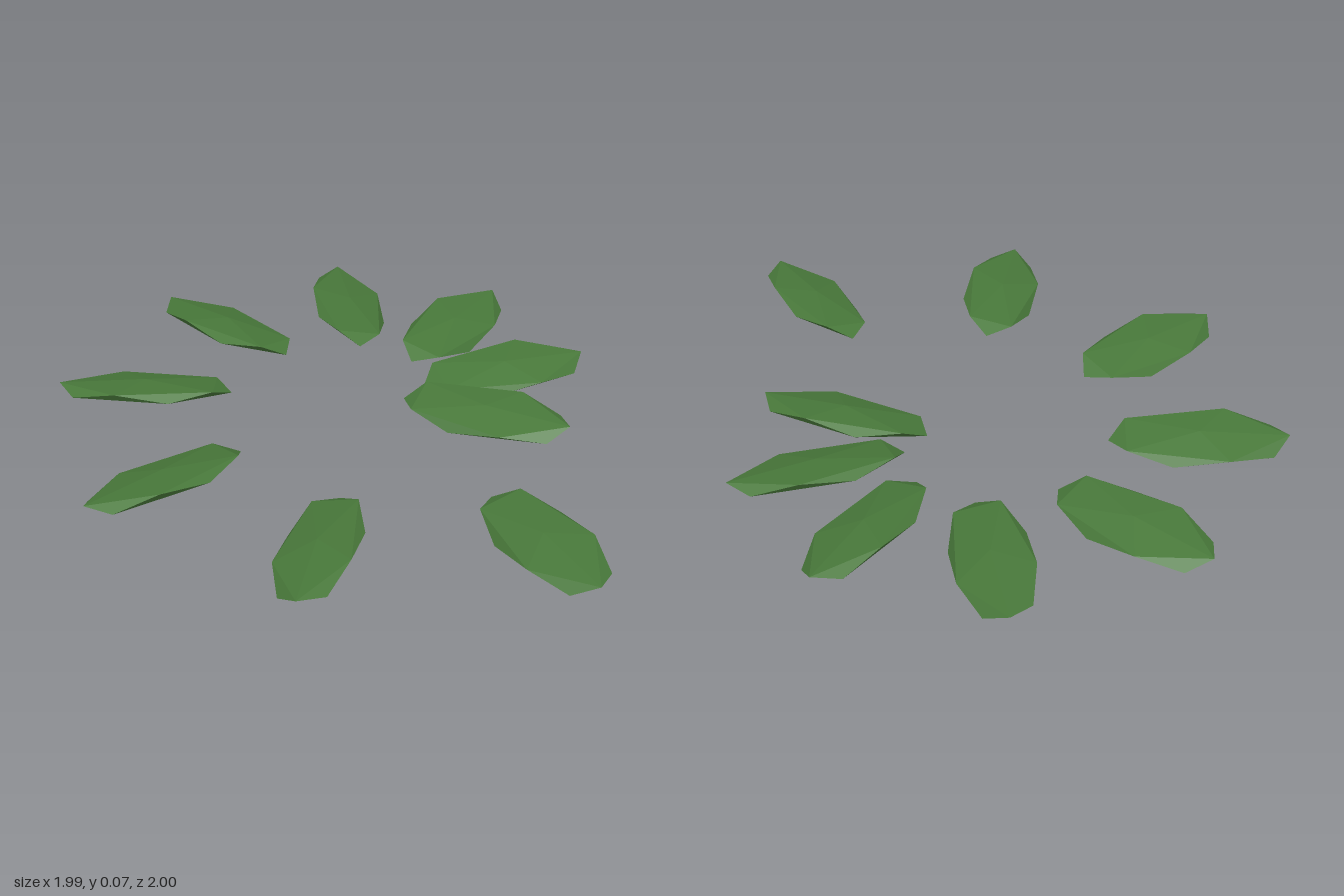
import * as THREE from 'three';

// Leaf centre (x, z) and outward direction (dx, dz)
const LEAVES = [
  [0.165, 0.715, 0.10, 0.57],
  [0.763, 0.44, 0.445, 0.36],
  [0.375, -0.19, 0.57, 0.01],
  [0.34, -0.49, 0.44, -0.38],
  [0.08, -0.72, 0.10, -0.56],
  [-0.318, -0.722, -0.29, -0.495],
  [-0.658, -0.423, -0.536, -0.193],
  [-0.726, 0.073, -0.538, 0.194],
  [-0.42, 0.548, -0.287, 0.495],
];

export function createModel() {
  const model = new THREE.Group();
  model.name = 'leafRing';

  const leafGreen = new THREE.MeshStandardMaterial({ color: 0x48783a });
  leafGreen.name = 'leafGreen';

  // Faceted leaf: an icosahedron standing on a corner, flattened,
  // stretched along z and rolled a little about its length
  const leafShape = new THREE.IcosahedronGeometry(1, 0);
  leafShape.rotateX(-Math.atan((1 + Math.sqrt(5)) / 2));
  leafShape.scale(0.14, 0.03, 0.32);
  leafShape.rotateZ(0.18);
  leafShape.computeVertexNormals();
  leafShape.computeBoundingBox();
  const lift = -leafShape.boundingBox.min.y;

  // Loose ring of leaves, each pointing outward
  LEAVES.forEach(([x, z, dx, dz], i) => {
    const leaf = new THREE.Mesh(leafShape, leafGreen);
    leaf.name = `leaf${i + 1}`;
    leaf.position.set(x, lift, z);
    leaf.rotation.y = Math.atan2(dx, dz);
    model.add(leaf);
  });

  return model;
}
